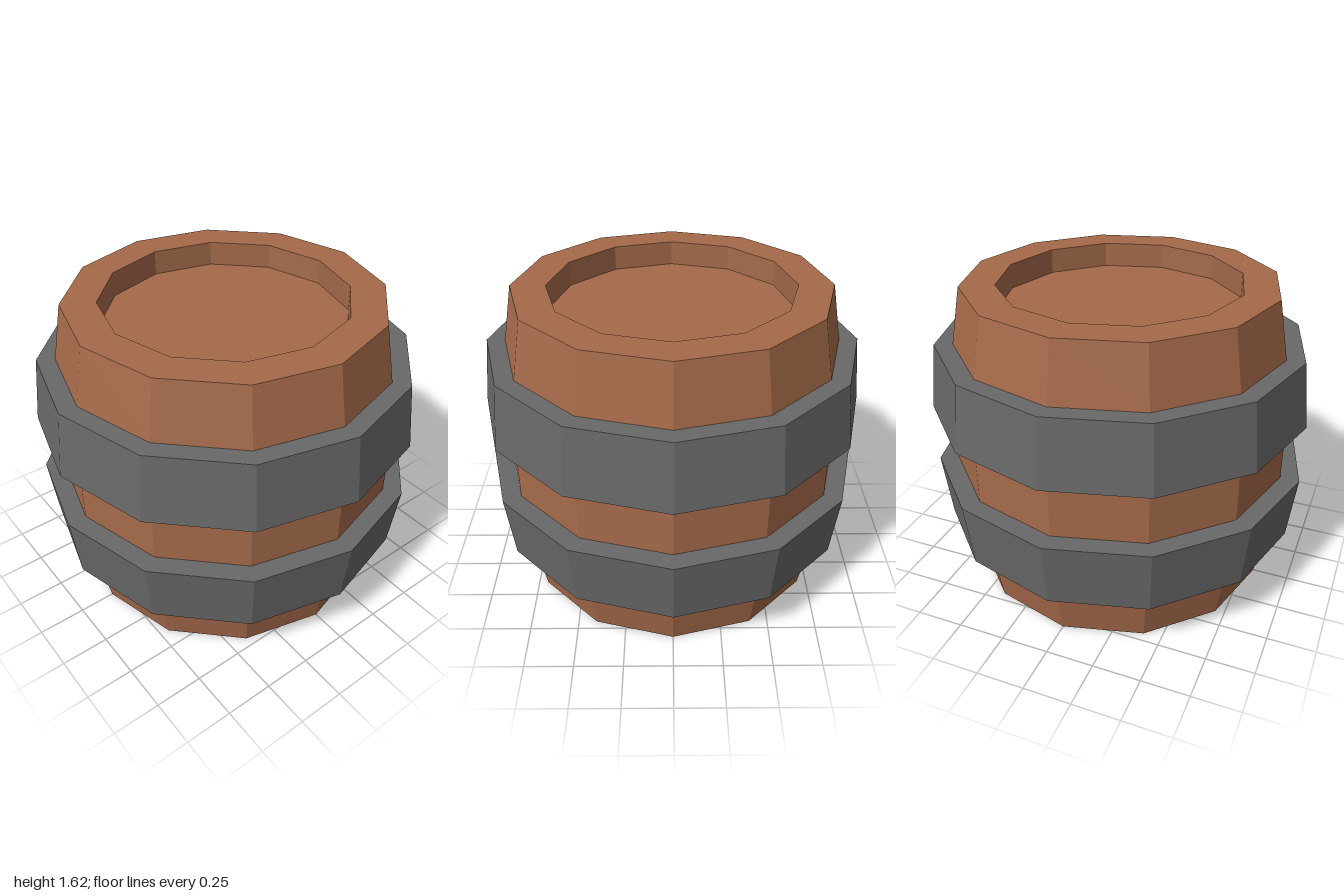
import * as THREE from 'three';

const SIDES = 12;
const HEIGHT = 1.62;

// Faceted solid of revolution from [radius, y] pairs, listed bottom to top
function turned(name, profile, material) {
  const points = profile.map(([r, y]) => new THREE.Vector2(r, y));
  const geometry = new THREE.LatheGeometry(points, SIDES).toNonIndexed();
  geometry.computeVertexNormals();
  const mesh = new THREE.Mesh(geometry, material);
  mesh.name = name;
  return mesh;
}

export function createModel() {
  const wood = new THREE.MeshStandardMaterial({ color: 0xa56a4a });
  wood.name = 'wood';
  const iron = new THREE.MeshStandardMaterial({ color: 0x686868 });
  iron.name = 'iron';

  const barrel = new THREE.Group();
  barrel.name = 'barrel';

  // Wooden body: lower half with recessed end, mirrored for the upper half
  const lower = [[0, 0.13], [0.63, 0.13], [0.63, 0], [0.81, 0], [0.865, 0.3], [0.9, 0.65]];
  const upper = lower.map(([r, y]) => [r, HEIGHT - y]).reverse();
  barrel.add(turned('body', [...lower, ...upper], wood));

  // Iron hoops, tapering away from the middle
  const hoop = [[0.865, 0.3], [0.96, 0.3], [1, 0.65], [0.9, 0.65]];
  const mirrored = hoop.map(([r, y]) => [r, HEIGHT - y]).reverse();
  barrel.add(turned('lowerHoop', hoop, iron));
  barrel.add(turned('upperHoop', mirrored, iron));

  return barrel;
}
